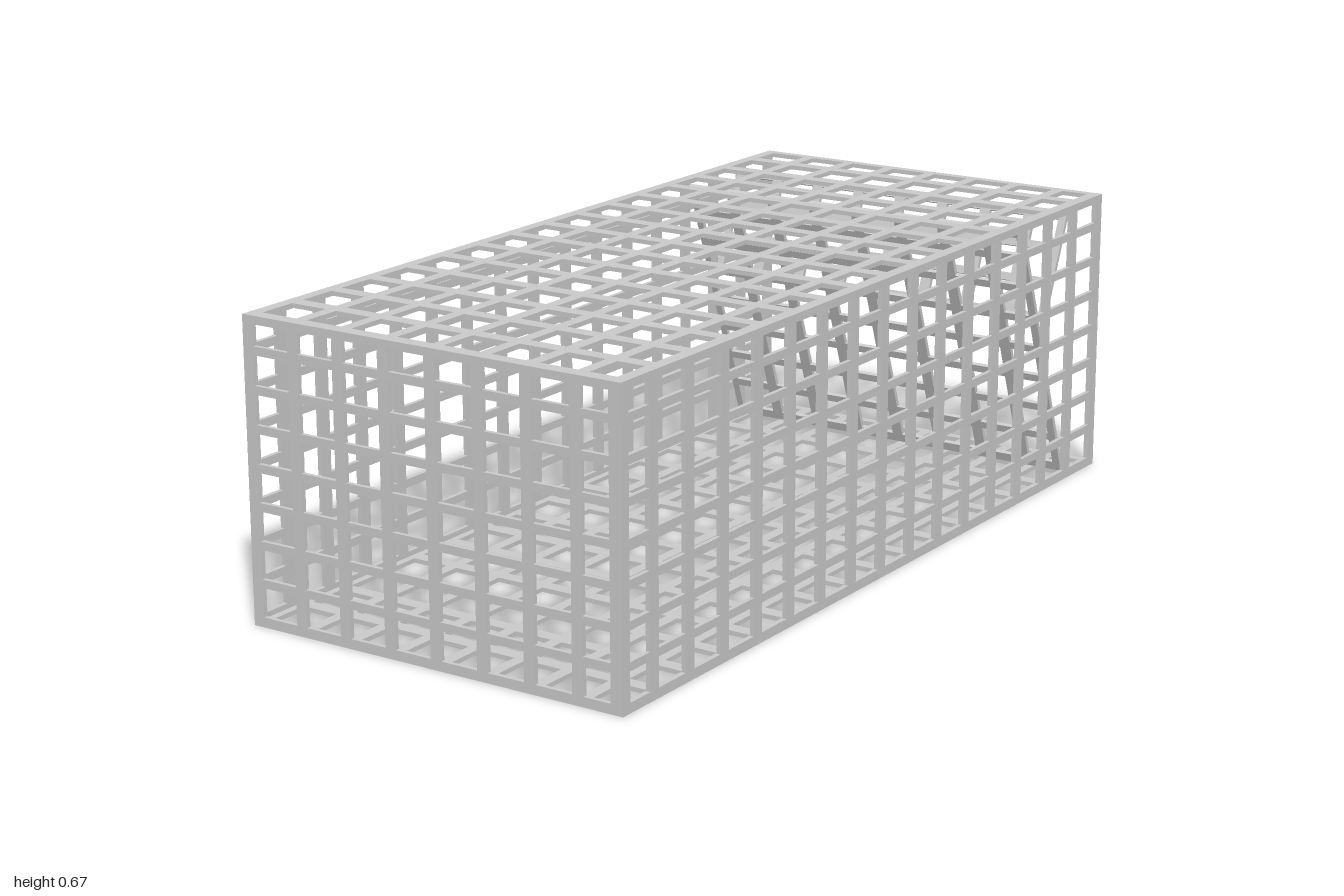
import * as THREE from 'three';

const T = 0.01; // sheet thickness
const material = new THREE.MeshStandardMaterial({ color: 0xcccccc, flatShading: true });

// Openings [from, to] repeated at a pitch; the last one is cut off at the limit
function openings(first, pitch, width, limit) {
  const list = [];
  for (let a = first; a < limit - 0.02; a += pitch) list.push([a, Math.min(a + width, limit)]);
  return list;
}

// Flat mesh sheet: a rectangle with a grid of rectangular holes
function meshPanel(name, u0, u1, v0, v1, cols, rows) {
  const shape = new THREE.Shape();
  shape.moveTo(u0, v0).lineTo(u1, v0).lineTo(u1, v1).lineTo(u0, v1).closePath();
  for (const [a, b] of cols) {
    for (const [c, d] of rows) {
      const hole = new THREE.Path();
      hole.moveTo(a, c).lineTo(a, d).lineTo(b, d).lineTo(b, c).closePath();
      shape.holes.push(hole);
    }
  }
  const geometry = new THREE.ExtrudeGeometry(shape, { depth: T, bevelEnabled: false });
  geometry.translate(0, 0, -T / 2);
  const mesh = new THREE.Mesh(geometry, material);
  mesh.name = name;
  return mesh;
}

export function createModel() {
  const group = new THREE.Group();
  group.name = 'wireCage';
  const W = 0.47, H = 0.672, L = 1;

  const xs = openings(-0.443, 0.117, 0.09, 0.441);
  const ys = openings(0.022, 0.0836, 0.065, 0.654);
  const sideZs = openings(-0.968, 0.125, 0.094, 0.975);
  // top and bottom run the other way, with the short row at the back
  const topZs = openings(-0.968, 0.125, 0.092, 0.978).map(([a, b]) => [-b, -a]);

  // Closed front end; the back end is open
  const front = meshPanel('frontPanel', -W, W, 0, H, xs, ys);
  front.position.z = L - T / 2;
  group.add(front);

  // Long sides
  for (const s of [-1, 1]) {
    const side = meshPanel(s > 0 ? 'leftPanel' : 'rightPanel', -L, L, 0, H, sideZs, ys);
    side.rotation.y = -Math.PI / 2;
    side.position.x = s * (W - T / 2);
    group.add(side);
  }

  // Top and bottom
  for (const [name, y] of [['topPanel', H - T / 2], ['bottomPanel', T / 2]]) {
    const panel = meshPanel(name, -W, W, -L, L, xs, topZs);
    panel.rotation.x = Math.PI / 2;
    panel.position.y = y;
    group.add(panel);
  }

  // Sloping door across the full height, leaning inwards at the top
  const door = meshPanel('slopingDoor', -W + T, W - T, 0, H, xs, ys);
  door.rotation.x = 0.35;
  door.position.set(0, 0.02, -0.853);
  group.add(door);

  // Short upper flap, leaning back towards the open end
  const flap = meshPanel('upperFlap', -W + T, W - T, 0, 0.265, xs, openings(0.018, 0.0836, 0.065, 0.243));
  flap.rotation.x = -0.396;
  flap.position.set(0, 0.412, -0.743);
  group.add(flap);

  return group;
}
